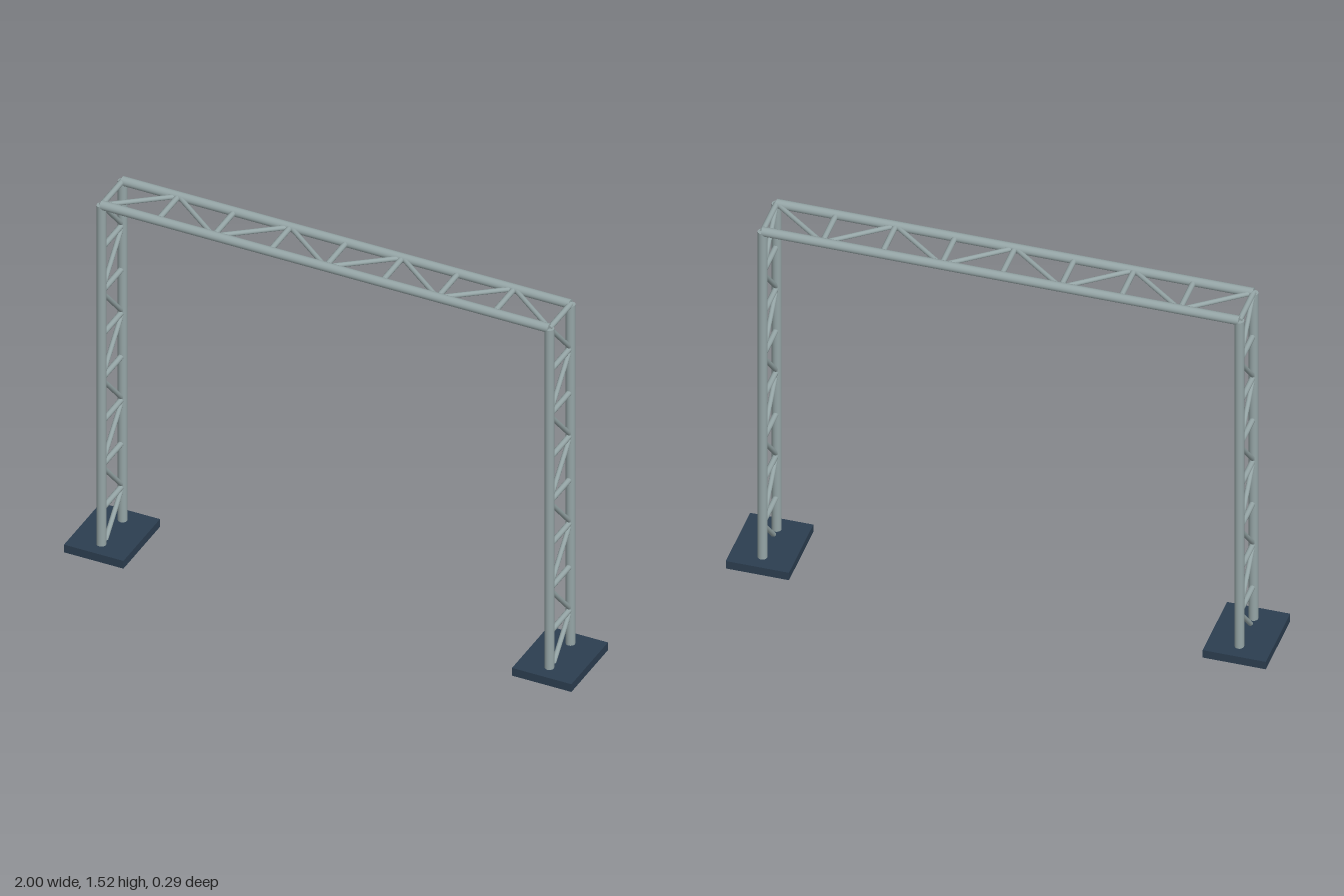
import * as THREE from 'three';

const X = 0.883;      // leg offset from centre
const Z = 0.085;      // half distance between paired chords
const BOTTOM = 0.011;
const TOP = 1.5;
const SEGMENTS = 8;

const steel = new THREE.MeshStandardMaterial({ color: 0x95a5a6 });
steel.name = 'galvanised steel';
const dark = new THREE.MeshStandardMaterial({ color: 0x2c3e50 });
dark.name = 'dark base plate';

// Round tube between two points
function tube(name, a, b, radius, sides) {
  const dir = b.clone().sub(a);
  const mesh = new THREE.Mesh(new THREE.CylinderGeometry(radius, radius, dir.length(), sides), steel);
  mesh.position.copy(a).add(b).multiplyScalar(0.5);
  mesh.quaternion.setFromUnitVectors(new THREE.Vector3(0, 1, 0), dir.normalize());
  mesh.name = name;
  return mesh;
}

// Flat ladder truss: two chords, a rung at the start of each bay, zigzag braces
function truss(name, start, end) {
  const group = new THREE.Group();
  group.name = name;
  const at = (i, z) => start.clone().lerp(end, i / SEGMENTS).setZ(z);
  for (const z of [Z, -Z]) group.add(tube('chord', at(0, z), at(SEGMENTS, z), 0.0175, 16));
  for (let i = 0; i < SEGMENTS; i++) {
    const side = i % 2 ? -Z : Z;
    group.add(tube('rung', at(i, Z), at(i, -Z), 0.0105, 12));
    group.add(tube('brace', at(i, side), at(i + 1, -side), 0.009, 12));
  }
  return group;
}

export function createModel() {
  const model = new THREE.Group();
  model.name = 'trussArch';

  // The arch runs up the right leg, across, and down the left leg
  const path = [[-X, BOTTOM], [-X, TOP], [X, TOP], [X, BOTTOM]].map(([x, y]) => new THREE.Vector3(x, y, 0));
  ['rightLeg', 'topBeam', 'leftLeg'].forEach((name, i) => model.add(truss(name, path[i], path[i + 1])));

  // Base plates
  for (const side of [-1, 1]) {
    const plate = new THREE.Mesh(new THREE.BoxGeometry(0.234, 0.033, 0.294), dark);
    plate.position.set(side * X, 0.0335, 0);
    plate.name = side < 0 ? 'rightBasePlate' : 'leftBasePlate';
    model.add(plate);
  }
  return model;
}
